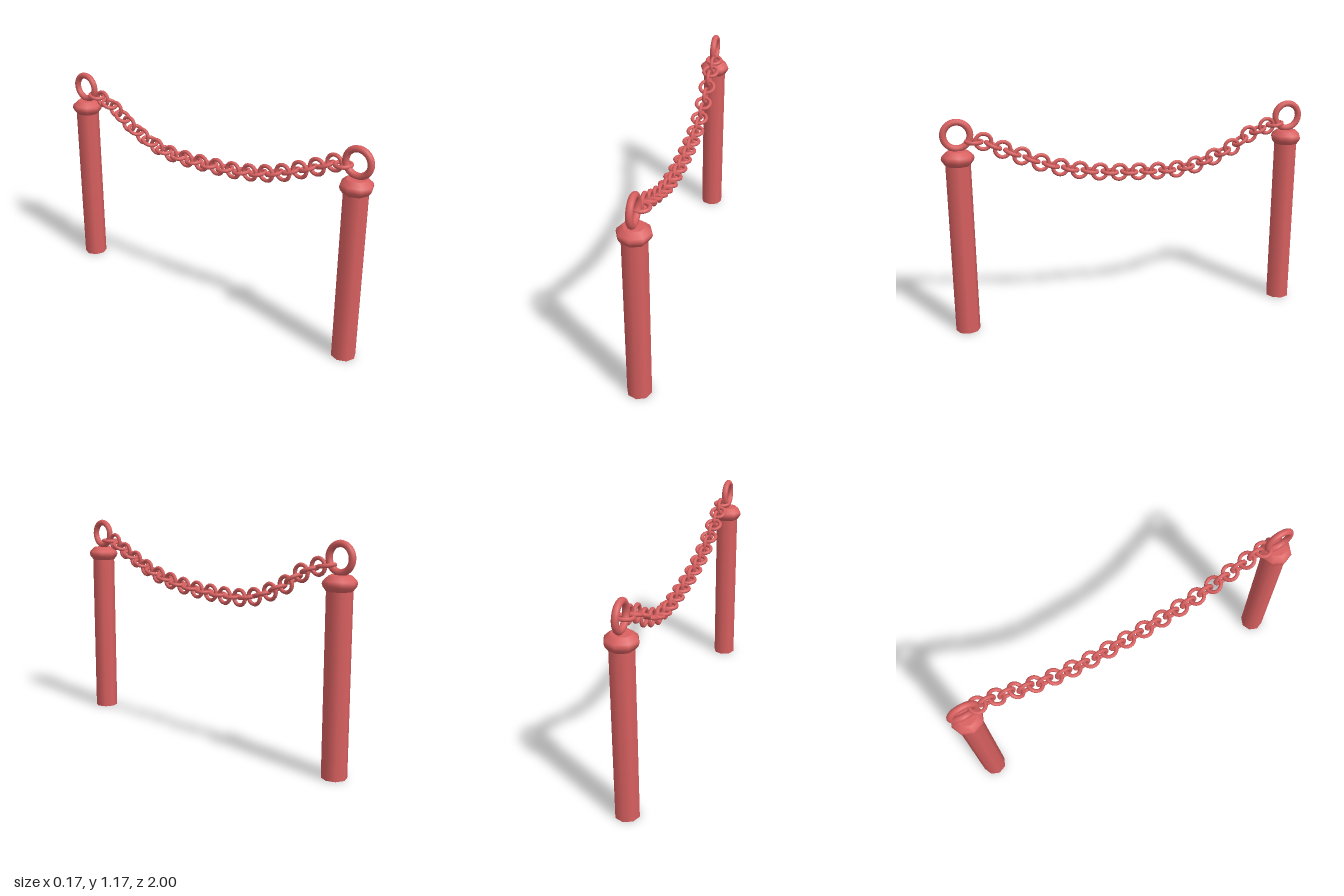
import * as THREE from 'three';

const material = new THREE.MeshStandardMaterial({ color: 0xd96060 });

function part(geometry, name, x, y, z) {
  const mesh = new THREE.Mesh(geometry, material);
  mesh.name = name;
  mesh.position.set(x, y, z);
  return mesh;
}

// One post: octagonal shaft, bulging cap and a ring standing on top
function createPost(name, z) {
  const post = new THREE.Group();
  post.name = name;
  post.position.z = z;
  post.add(part(new THREE.CylinderGeometry(0.065, 0.065, 0.94, 8), 'shaft', 0, 0.47, 0));

  const capProfile = [
    [0.06, 0.925], [0.066, 0.928], [0.081, 0.948], [0.086, 0.963],
    [0.081, 0.978], [0.056, 1.001], [0.05, 1.003], [0, 1.003],
  ].map(([r, y]) => new THREE.Vector2(r, y));
  post.add(part(new THREE.LatheGeometry(capProfile, 8), 'cap', 0, 0, 0));

  const ring = part(new THREE.TorusGeometry(0.0685, 0.0175, 10, 32), 'postRing', 0, 1.083, 0);
  ring.rotation.y = Math.PI / 2;
  post.add(ring);
  return post;
}

// Chain of round links, alternately upright and lying along the slope
function createChain() {
  const chain = new THREE.Group();
  chain.name = 'chain';
  const linkGeometry = new THREE.TorusGeometry(0.0405, 0.0105, 8, 20);
  // z and y of the upright links, from the front post to the back post
  const upright = [
    [0.78, 1.045], [0.683, 0.997], [0.585, 0.955], [0.485, 0.913],
    [0.382, 0.88], [0.278, 0.857], [0.168, 0.84], [0.059, 0.83],
    [-0.05, 0.825], [-0.157, 0.821], [-0.267, 0.823], [-0.373, 0.84],
    [-0.481, 0.878], [-0.586, 0.926], [-0.685, 0.993], [-0.79, 1.034],
  ];
  for (const [z, y] of upright) {
    const link = part(linkGeometry, 'uprightLink', 0.01, y, z);
    link.rotation.y = Math.PI / 2;
    chain.add(link);
  }
  // Lying links join each pair of upright links and the post rings
  const path = [[0.877, 1.049], ...upright, [-0.887, 1.05]];
  for (let i = 0; i < path.length - 1; i++) {
    const [z0, y0] = path[i];
    const [z1, y1] = path[i + 1];
    const link = part(linkGeometry, 'lyingLink', 0.01, (y0 + y1) / 2, (z0 + z1) / 2);
    link.rotation.x = Math.PI / 2 - Math.atan2(y0 - y1, z0 - z1);
    chain.add(link);
  }
  return chain;
}

export function createModel() {
  const model = new THREE.Group();
  model.name = 'chainBarrier';
  model.add(createPost('frontPost', 0.914), createPost('backPost', -0.914), createChain());
  return model;
}
